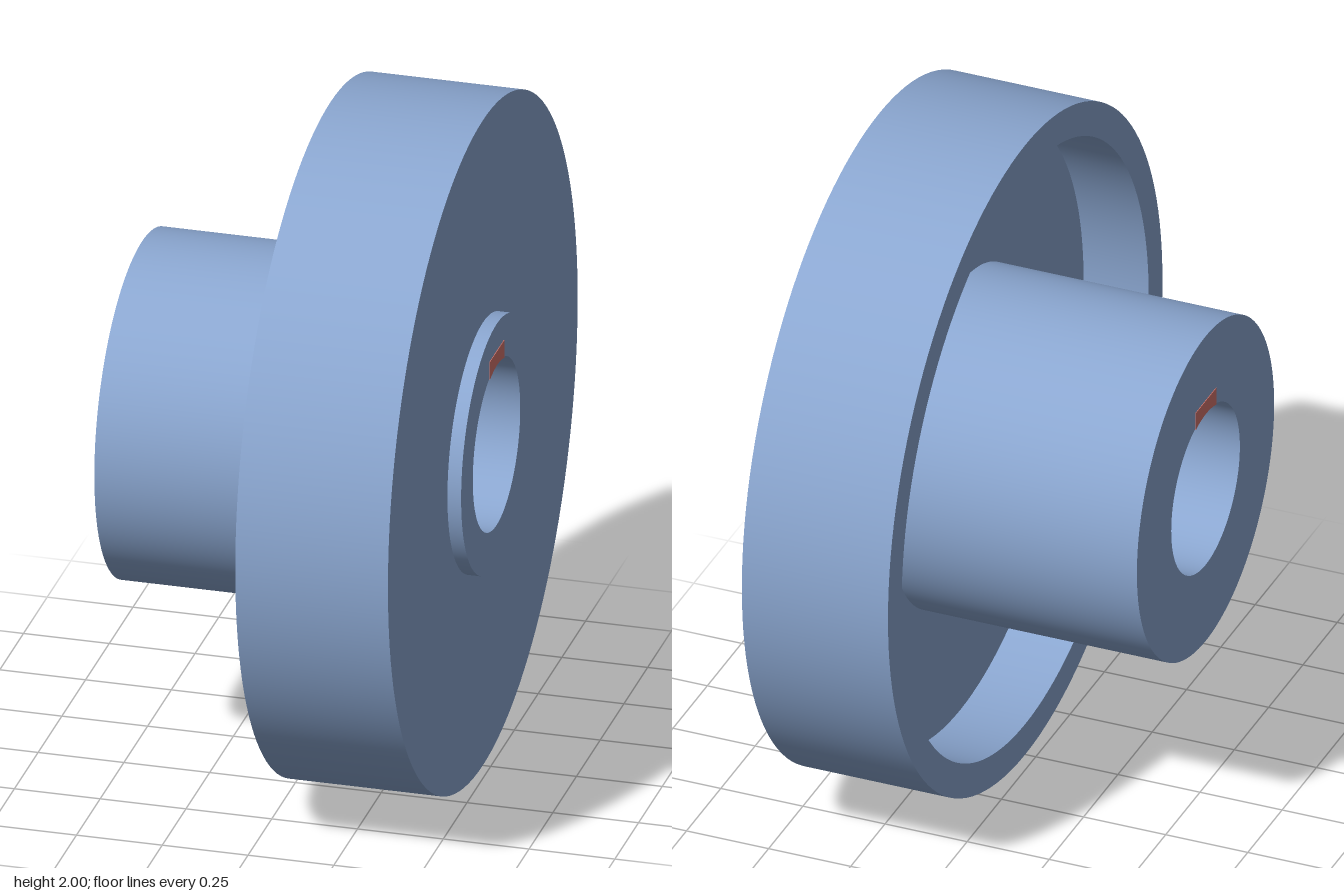
import * as THREE from 'three';
import { mergeGeometries } from 'three/addons/utils/BufferGeometryUtils.js';

const SEGMENTS = 128;
const BORE = 0.25;
const BACK = -0.517, FRONT = 0.517; // hub ends along x
const RIM = 0.032, FACE = 0.477, FLOOR = 0.23; // disc planes along x

const bodyBlue = new THREE.MeshStandardMaterial({ color: 0x8ba7d1 });
bodyBlue.name = 'bodyBlue';
const keyRed = new THREE.MeshStandardMaterial({ color: 0xd4756c });
keyRed.name = 'keyRed';

// Revolves a profile of [radius, x] points about the x axis; each segment keeps sharp edges.
function turned(name, profile) {
  const bands = [];
  for (let i = 0; i < profile.length - 1; i++) {
    const pair = [profile[i], profile[i + 1]].map(([r, x]) => new THREE.Vector2(r, x));
    bands.push(new THREE.LatheGeometry(pair, SEGMENTS));
  }
  const geometry = mergeGeometries(bands);
  geometry.rotateZ(-Math.PI / 2);
  const mesh = new THREE.Mesh(geometry, bodyBlue);
  mesh.name = name;
  return mesh;
}

// Key strip along the top of the bore, its underside following the bore
function keyStrip() {
  const half = 0.075, top = 0.29, r = BORE - 0.003;
  const a = Math.asin(half / r);
  const shape = new THREE.Shape();
  shape.moveTo(half, top);
  shape.lineTo(-half, top);
  shape.absarc(0, 0, r, Math.PI / 2 + a, Math.PI / 2 - a, true);
  shape.closePath();
  const length = FRONT - BACK + 0.004;
  const geometry = new THREE.ExtrudeGeometry(shape, { depth: length, bevelEnabled: false, curveSegments: 12 });
  geometry.translate(0, 0, -length / 2);
  geometry.rotateY(Math.PI / 2);
  const mesh = new THREE.Mesh(geometry, keyRed);
  mesh.name = 'key';
  return mesh;
}

export function createModel() {
  const group = new THREE.Group();
  group.name = 'flangedHub';

  // Long hub with its end face
  group.add(turned('hub', [[BORE, BACK], [0.5, BACK], [0.5, FLOOR]]));
  // Disc with a hollow back and a raised rim
  group.add(turned('disc', [[0.5, FLOOR], [0.9, FLOOR], [0.9, RIM], [1, RIM], [1, FACE], [0.373, FACE]]));
  // Low boss around the bore
  group.add(turned('boss', [[0.373, FACE], [0.373, FRONT], [BORE, FRONT]]));
  // Through bore
  group.add(turned('bore', [[BORE, FRONT], [BORE, BACK]]));
  group.add(keyStrip());

  group.children.forEach((part) => { part.position.y = 1; });
  return group;
}
